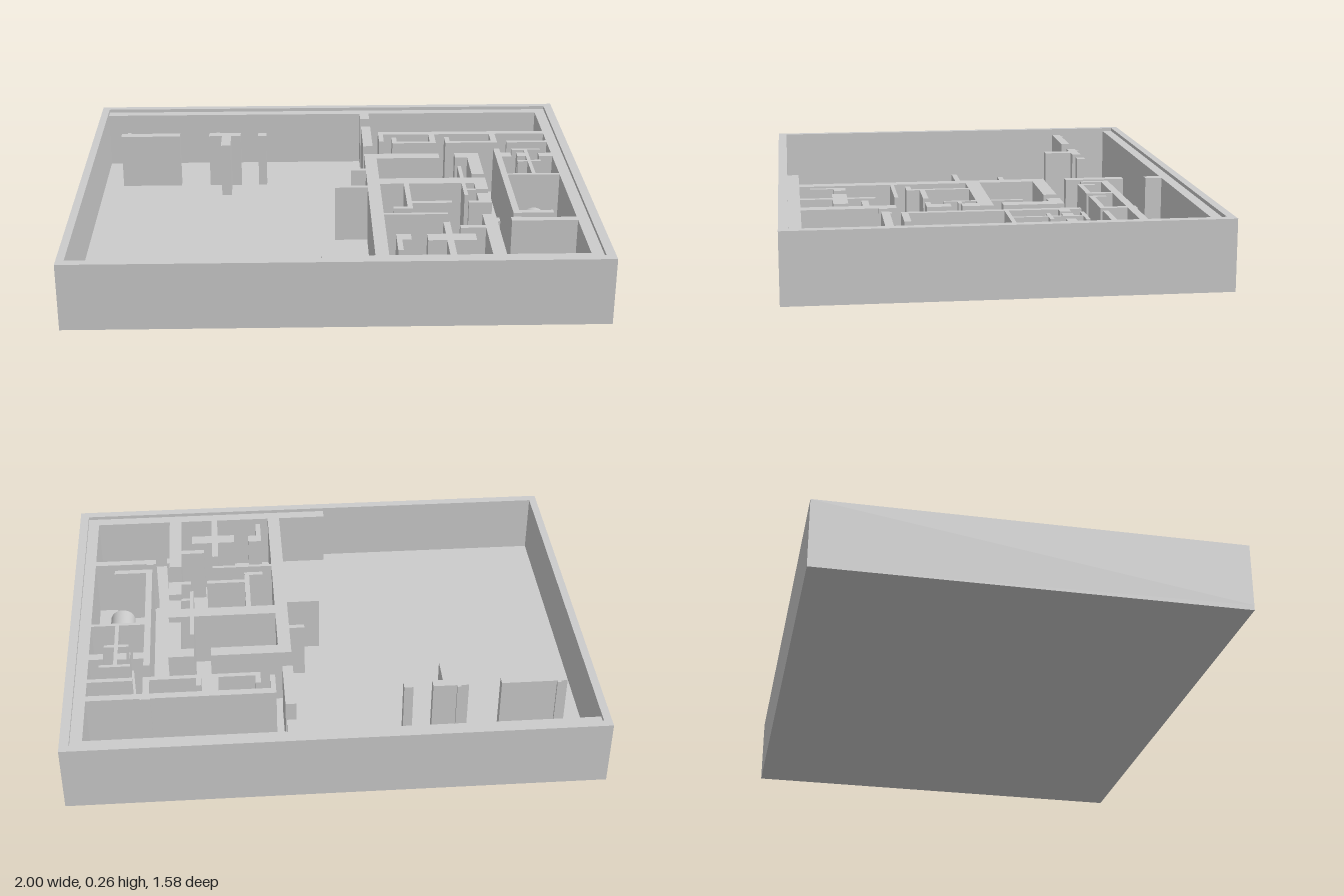
import * as THREE from 'three';

const FLOOR = 0.02, WALL = 0.248, RIM = 0.262;
const material = new THREE.MeshStandardMaterial({ color: 0xcccccc, flatShading: true });
const smooth = new THREE.MeshStandardMaterial({ color: 0xcccccc });

// Box standing on the floor; plan rectangle in hundredths: [x0, z0, x1, z1]
function block(name, [x0, z0, x1, z1], top, bottom = FLOOR) {
  const geo = new THREE.BoxGeometry((x1 - x0) / 100, top - bottom, (z1 - z0) / 100);
  const mesh = new THREE.Mesh(geo, material);
  mesh.position.set((x0 + x1) / 200, (top + bottom) / 2, (z0 + z1) / 200);
  mesh.name = name;
  return mesh;
}

function walls(name, rects, top = WALL) {
  const g = new THREE.Group();
  g.name = name;
  rects.forEach((r) => g.add(block(name + 'Section', r, top)));
  return g;
}

// Cylinder lying on the floor
function roll(name, x, z, radius, length, alongX) {
  const geo = new THREE.CylinderGeometry(radius, radius, length, 32);
  if (alongX) geo.rotateZ(Math.PI / 2);
  else geo.rotateX(Math.PI / 2);
  const mesh = new THREE.Mesh(geo, smooth);
  mesh.position.set(x, FLOOR + radius, z);
  mesh.name = name;
  return mesh;
}

export function createModel() {
  const model = new THREE.Group();
  model.name = 'floorPlan';

  // Base slab and outer rim
  model.add(block('floor', [-100, -79, 100, 79], FLOOR, 0));
  const outline = new THREE.Shape([[-1, -0.79], [1, -0.79], [1, 0.79], [-1, 0.79]].map((p) => new THREE.Vector2(...p)));
  outline.holes.push(new THREE.Path([[-0.97, -0.755], [-0.97, 0.76], [0.965, 0.76], [0.965, -0.755]].map((p) => new THREE.Vector2(...p))));
  const rimGeo = new THREE.ExtrudeGeometry(outline, { depth: RIM - FLOOR, bevelEnabled: false });
  rimGeo.rotateX(-Math.PI / 2);
  const rim = new THREE.Mesh(rimGeo, material);
  rim.position.y = FLOOR;
  rim.name = 'outerWall';
  model.add(rim);

  // Lower lining inside the rim, with the back stub
  model.add(walls('liningWall', [
    [-97, -76, 96.5, -72], [92, -72, 96.5, 71], [-5.5, 71, 96.5, 75.5],
    [14, -72, 18, -65.5],
  ]));

  // Free-standing pieces in the hall
  model.add(walls('hallPier', [
    [-89, -50, -64, -46.5], [-86.5, -51, -85, -50],
    [-51.5, -50, -38, -46.5], [-48.5, -51, -47, -50], [-46, -46.5, -42, -35.5],
    [-30.5, -50, -27, -46.5], [14, -56.5, 18, -33.5],
  ]));

  // Long wall between hall and rooms, with side stubs
  model.add(walls('spineWall', [
    [14, -25, 19, 71], [8, -9.5, 14, -7.5], [1, 8, 14, 10],
  ]));

  // Row of cubicles at the back
  model.add(walls('cubicleWall', [
    [21, -49.5, 92, -46.5], [68, -50, 72, -49.5], [21, -47, 23, -38.5],
    [26.5, -43, 28.5, -36.5], [26.5, -38.5, 45, -36.5], [42.5, -47, 45, -36.5],
    [49, -43, 51, -36.5], [49, -38.5, 71, -36.5], [68.5, -47, 71, -36.5],
    [75, -38.5, 92, -36.5],
  ]));

  // Upper middle room
  model.add(walls('upperRoomWall', [
    [14, -25, 45, -20], [51.5, -25, 61.5, -20], [56.5, -25, 61.5, -2.5],
    [51.5, -11, 53, 1], [19, 1, 61.5, 6.5],
  ]));

  // Middle rooms
  model.add(walls('middleRoomWall', [
    [56.5, 1, 61.5, 12.5], [28.5, 6.5, 30.5, 30.5], [23, 28.5, 30.5, 30.5],
    [30.5, 23.5, 46, 25.5], [51.5, 6.5, 53, 18.5], [53, 12, 56.5, 13.5],
    [56.5, 16.5, 61.5, 25.5], [52.5, 23.5, 61.5, 25.5], [19, 34.5, 43.5, 36],
  ]));

  // Lower rooms
  model.add(walls('lowerRoomWall', [
    [56.5, 36.5, 61.5, 71], [61.5, 39.5, 62.5, 43], [41, 43, 43.5, 71],
    [47, 46, 56.5, 48.5], [34, 53.5, 52, 59], [22.5, 53.5, 28, 58],
    [22.5, 53.5, 24.5, 67],
  ]));

  // Rooms on the right side
  model.add(walls('sideRoomWall', [
    [68.5, -29.5, 71, 35.5], [68.5, 33, 84, 35.5], [71, -25, 75, -21],
    [71, -3, 92, -1.5], [67, 39.5, 92, 42.5], [68, 38.8, 71, 39.5],
    [76, -29.5, 88, -28], [81, -29.5, 82.5, -3], [77.5, -25, 81, -21],
    [86.5, -24.5, 92, -21], [77, -17, 86.5, -15.5],
  ]));

  // Low benches and thin partitions
  model.add(walls('bench', [
    [30.5, -43, 41, -41], [54, -43, 63, -41], [81, -43, 91, -41],
    [36, 10, 46, 12.5], [77.5, -15, 79, -4], [85, -15, 86.5, -4],
  ], 0.12));
  model.add(block('thinScreen', [24.5, -7.3, 45.5, -6.9], 0.14));

  // Rounded furniture
  model.add(roll('longRoll', 0.48, -0.61, 0.025, 0.36, true));
  model.add(roll('wideRoll', 0.815, 0.138, 0.05, 0.225, false));

  return model;
}
